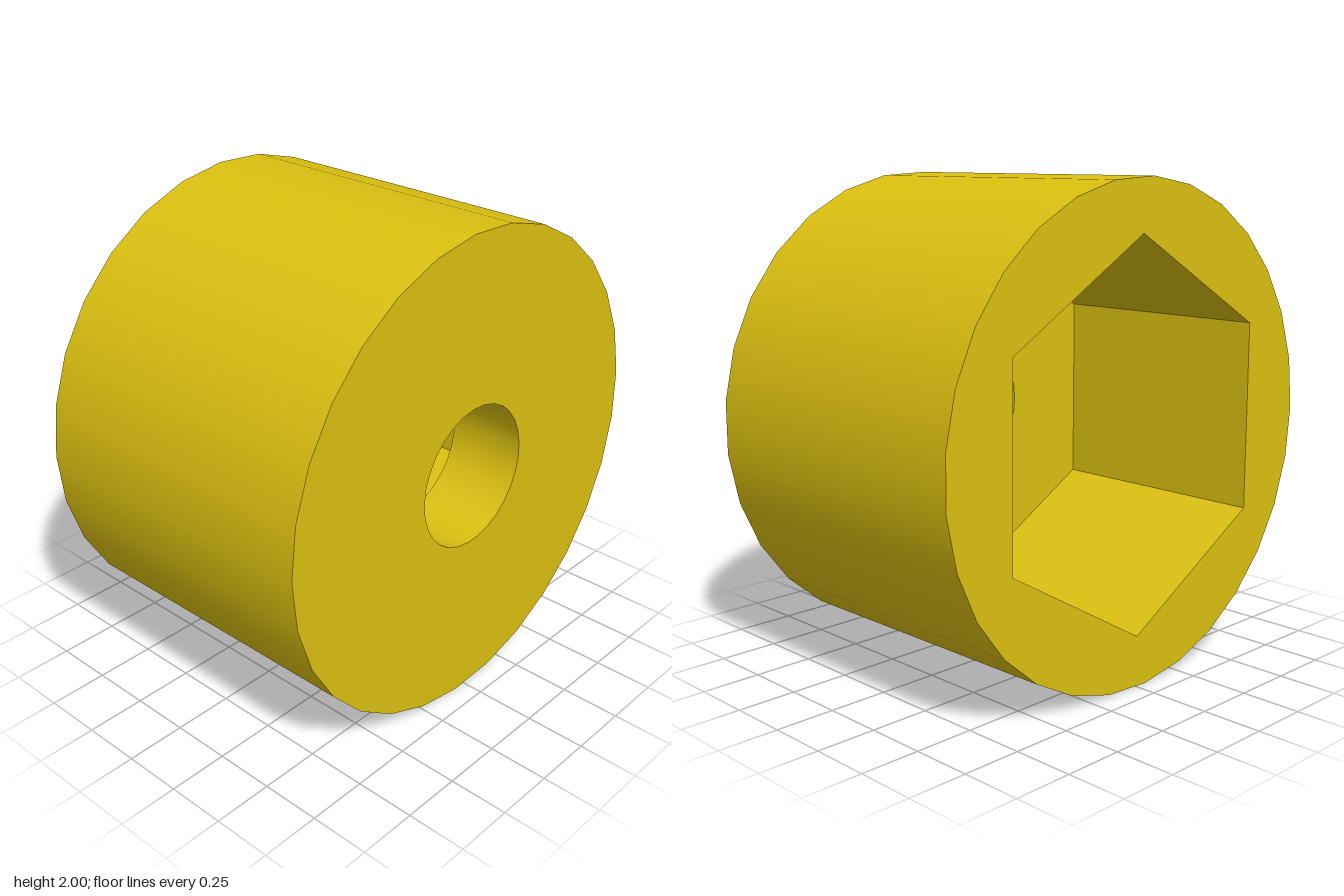
import * as THREE from 'three';

const SIDES = 29, OUTER = 1, BORE = 0.296, HEX = 0.788;
const FRONT = 0.66, BACK = -0.66, FLOOR = 0.33;

// Regular polygon outline in the xy plane, starting at the given angle
function polygon(radius, sides, start) {
  return Array.from({ length: sides }, (_, i) => {
    const a = start + (i / sides) * Math.PI * 2;
    return new THREE.Vector2(radius * Math.cos(a), radius * Math.sin(a));
  });
}

// Open wall along z; faces outward when z rises from start to end, inward when it falls
function wall(radius, z0, z1, sides, phi) {
  const profile = [new THREE.Vector2(radius, z0), new THREE.Vector2(radius, z1)];
  return new THREE.LatheGeometry(profile, sides, phi).rotateX(Math.PI / 2);
}

// Flat plate with a hole, facing front or back
function face(outline, hole, z, facesBack) {
  const shape = new THREE.Shape(outline);
  shape.holes.push(new THREE.Path(hole));
  const geometry = new THREE.ShapeGeometry(shape);
  // A half turn about y mirrors x, so pre-mirrored outlines stay in place
  if (facesBack) geometry.rotateY(Math.PI);
  return geometry.translate(0, 0, z);
}

export function createModel() {
  const model = new THREE.Group();
  model.name = 'hexSocketCollar';
  const yellow = new THREE.MeshStandardMaterial({ color: 0xdcc010 });
  yellow.name = 'yellow';

  const add = (name, geometry) => {
    const mesh = new THREE.Mesh(geometry, yellow);
    mesh.name = name;
    mesh.position.y = 1;
    model.add(mesh);
  };

  const outer = polygon(OUTER, SIDES, Math.PI);
  const outerMirrored = polygon(OUTER, SIDES, 0);
  const bore = polygon(BORE, SIDES, Math.PI);
  const boreMirrored = polygon(BORE, SIDES, 0);
  const hex = polygon(HEX, 6, Math.PI / 2);

  // Round body
  add('outerWall', wall(OUTER, BACK, FRONT, SIDES, -Math.PI / 2));
  add('frontFace', face(outer, bore, FRONT, false));
  add('backFace', face(outerMirrored, hex, BACK, true));

  // Round bore through the front
  add('boreWall', wall(BORE, FRONT, FLOOR, SIDES, -Math.PI / 2));

  // Hexagonal pocket in the back, with flat sides
  const pocket = wall(HEX, FLOOR, BACK, 6, 0).toNonIndexed();
  pocket.computeVertexNormals();
  add('pocketWalls', pocket);
  add('pocketFloor', face(hex, boreMirrored, FLOOR, true));

  return model;
}
